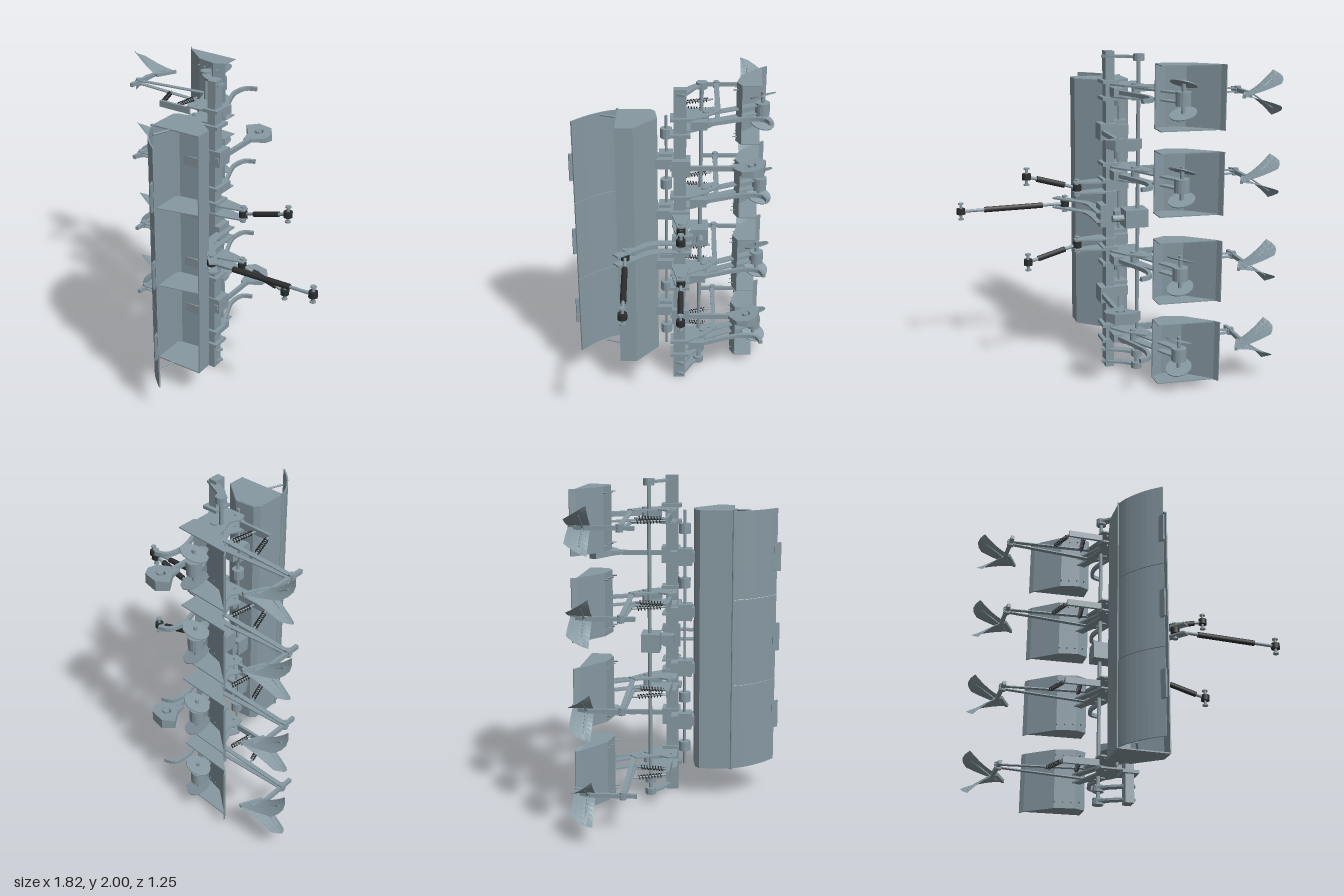
import * as THREE from 'three';

const steel = new THREE.MeshStandardMaterial({ color: 0x8799a2, side: THREE.DoubleSide, flatShading: true });
const dark = new THREE.MeshStandardMaterial({ color: 0x2b2d2f });

function add(parent, name, geo, mat = steel) {
  const m = new THREE.Mesh(geo, mat);
  m.name = name;
  parent.add(m);
  return m;
}

// Outline in [x, z], extruded from y0 to y1
function prism(parent, name, pts, y0, y1, holes = []) {
  const s = new THREE.Shape(pts.map(([x, z]) => new THREE.Vector2(x, -z)));
  for (const [x, z, r] of holes) s.holes.push(new THREE.Path().absarc(x, -z, r, 0, Math.PI * 2));
  const g = new THREE.ExtrudeGeometry(s, { depth: y1 - y0, bevelEnabled: false, curveSegments: 8 });
  return add(parent, name, g.rotateX(-Math.PI / 2).translate(0, y0, 0));
}

// Path in [x, z] given a thickness, extruded from y0 to y1
function strip(parent, name, path, t, y0, y1) {
  const a = [], b = [];
  path.forEach(([x, z], i) => {
    const p = path[Math.max(i - 1, 0)], n = path[Math.min(i + 1, path.length - 1)];
    const dx = n[0] - p[0], dz = n[1] - p[1], l = Math.hypot(dx, dz), k = t / 2 / l;
    a.push([x - dz * k, z + dx * k]);
    b.unshift([x + dz * k, z - dx * k]);
  });
  return prism(parent, name, a.concat(b), y0, y1);
}

function box(parent, name, x0, x1, y0, y1, z0, z1) {
  return add(parent, name, new THREE.BoxGeometry(x1 - x0, y1 - y0, z1 - z0)
    .translate((x0 + x1) / 2, (y0 + y1) / 2, (z0 + z1) / 2));
}

function rod(parent, name, p, q, r, mat = steel, sides = 12) {
  const a = new THREE.Vector3(...p), b = new THREE.Vector3(...q);
  const m = add(parent, name, new THREE.CylinderGeometry(r, r, a.distanceTo(b), sides), mat);
  m.position.copy(a).add(b).multiplyScalar(0.5);
  m.quaternion.setFromUnitVectors(new THREE.Vector3(0, 1, 0), b.sub(a).normalize());
  return m;
}

function spring(parent, p, q) {
  const a = new THREE.Vector3(...p), d = new THREE.Vector3(...q).sub(a), pts = [];
  const u = new THREE.Vector3(0, 1, 0), v = d.clone().normalize().cross(u);
  for (let i = 0; i <= 64; i++) {
    const t = i / 64, w = t * Math.PI * 16;
    pts.push(a.clone().addScaledVector(d, 0.15 + 0.7 * t)
      .addScaledVector(u, 0.012 * Math.cos(w)).addScaledVector(v, 0.012 * Math.sin(w)));
  }
  add(parent, 'spring', new THREE.TubeGeometry(new THREE.CatmullRomCurve3(pts), 96, 0.0035, 4), dark);
  rod(parent, 'springRod', p, q, 0.006);
}

// Curved sheet of the ridging body, flaring to one side
function wing(parent, side) {
  const g = new THREE.PlaneGeometry(1, 1, 8, 4), P = g.attributes.position;
  for (let i = 0; i < P.count; i++) {
    const u = P.getX(i) + 0.5, v = P.getY(i) + 0.5;
    const x = THREE.MathUtils.lerp(-0.635 - 0.235 * u, -0.69 - 0.18 * u, v) - 0.035 * u * Math.sin(v * Math.PI);
    P.setXYZ(i, x, side * (0.004 + (0.06 + 0.07 * v) * u ** 1.5), -0.56 + 0.132 * v + 0.01 * u * (1 - v));
  }
  g.computeVertexNormals();
  const m = add(parent, 'ridgerWing', g);
  m.material = steel;
}

function rowUnit() {
  const g = new THREE.Group();
  g.name = 'rowUnit';
  // Frame plates clamped on the beam
  for (const s of [-1, 1]) {
    const y = s * 0.036;
    prism(g, 'framePlate', [[-0.2, -0.25], [-0.15, -0.29], [-0.04, -0.2], [0.02, -0.11], [0.02, 0], [-0.16, 0.0],
      [-0.18, -0.05], [-0.15, -0.11]], y - 0.005, y + 0.005, [[-0.13, -0.23, 0.008], [-0.12, -0.04, 0.008]]);
    strip(g, 'diggingArm', [[-0.1, -0.17], [-0.27, -0.5]], 0.05, s * 0.026 - 0.005, s * 0.026 + 0.005);
    box(g, 'beamClamp', -0.03, 0.07, s * 0.05 - 0.01, s * 0.05 + 0.01, -0.1, 0.02);
    // Rear arm, converging on the ridger post
    const arm = strip(g, 'rearArm', [[-0.15, -0.265], [-0.74, -0.27]], 0.03, -0.003, 0.003);
    const P = arm.geometry.attributes.position;
    for (let i = 0; i < P.count; i++) P.setY(i, P.getY(i) + s * (0.008 + 0.046 * (P.getX(i) + 0.74)));
    arm.geometry.computeVertexNormals();
    // Hood end plates
    prism(g, 'hoodEndPlate', [[-0.5, -0.545], [-0.15, -0.52], [-0.15, -0.41], [-0.22, -0.38], [-0.34, -0.41]],
      s * 0.185 - 0.003, s * 0.185 + 0.003);
    // Covering discs, angled
    const disc = add(g, 'coveringDisc', new THREE.CylinderGeometry(0.08, 0.08, 0.006, 20));
    disc.position.set(-0.275, s * 0.085, -0.54);
    disc.rotation.set(s * 0.25, 0, s * 0.3);
    for (let k = 0; k < 4; k++) rod(g, 'hoodBolt', [-0.34 + k * 0.05, s * 0.15, -0.415 + k * 0.01],
      [-0.34 + k * 0.05, s * 0.15, -0.385 + k * 0.01], 0.004, steel, 6);
    wing(g, s);
    rod(g, 'wingBrace', [-0.73, 0, -0.47], [-0.855, s * 0.085, -0.47], 0.005, steel, 6);
  }
  strip(g, 'hoodPlate', [[-0.52, -0.575], [-0.5, -0.545], [-0.34, -0.41], [-0.22, -0.38], [-0.15, -0.41]], 0.007, -0.188, 0.188);
  rod(g, 'discAxle', [-0.275, -0.11, -0.54], [-0.275, 0.11, -0.54], 0.012);
  rod(g, 'discHub', [-0.275, -0.04, -0.54], [-0.275, 0.04, -0.54], 0.045, steel, 16);
  rod(g, 'armPivot', [-0.1, -0.05, -0.19], [-0.1, 0.05, -0.19], 0.02);
  // Ridger post and nose
  strip(g, 'ridgerPost', [[-0.72, -0.19], [-0.72, -0.46], [-0.69, -0.52]], 0.022, -0.012, 0.012);
  strip(g, 'ridgerNose', [[-0.7, -0.43], [-0.635, -0.56]], 0.018, -0.01, 0.01);
  rod(g, 'postClamp', [-0.72, -0.022, -0.27], [-0.72, 0.022, -0.27], 0.02);
  // Spring-loaded pressure linkage
  strip(g, 'springBar', [[-0.38, -0.04], [-0.16, -0.035]], 0.018, -0.02, 0.02);
  spring(g, [-0.44, 0, -0.24], [-0.37, 0, -0.04]);
  spring(g, [-0.25, 0, -0.24], [-0.28, 0, -0.04]);
  // Curved tine
  const bend = new THREE.SplineCurve([[0.01, -0.15], [-0.03, -0.25], [-0.09, -0.4], [-0.1, -0.48], [-0.08, -0.55], [-0.02, -0.575]]
    .map(p => new THREE.Vector2(...p))).getPoints(14).map(v => [v.x, v.y]);
  strip(g, 'curvedTine', bend, 0.022, -0.012, 0.012);
  box(g, 'tineClamp', -0.03, 0.03, -0.025, 0.025, -0.2, -0.1);
  return g;
}

// Rod end: ball on a flanged cross pin
function rodEnd(parent, x, y, z) {
  rod(parent, 'linkBall', [x, y - 0.018, z], [x, y + 0.018, z], 0.027, dark, 16);
  rod(parent, 'linkPin', [x, y - 0.05, z], [x, y + 0.05, z], 0.009);
  for (const s of [-1, 1]) rod(parent, 'pinCollar', [x, y + s * 0.045, z], [x, y + s * 0.053, z], 0.018);
}

function link(name, p, q, from, to) {
  const g = new THREE.Group(), at = t => p.map((v, i) => v + (q[i] - v) * t);
  g.name = name;
  rod(g, 'linkRod', p, q, 0.01);
  rod(g, 'linkSleeve', at(from), at(to), 0.018, dark, 8);
  rodEnd(g, ...p);
  rodEnd(g, ...q);
  return g;
}

export function createModel() {
  const root = new THREE.Group();
  root.name = 'rowCropImplement';

  // Main beam and cross shaft
  box(root, 'mainBeam', -0.008, 0.045, 0, 2, -0.075, 0);
  rod(root, 'crossShaft', [-0.13, 0.015, -0.165], [-0.13, 1.985, -0.165], 0.012);
  for (const y of [0.035, 0.115, 1.97]) {
    strip(root, 'shaftBracket', [[0.06, -0.04], [-0.08, -0.11], [-0.15, -0.175]], 0.05, y - 0.007, y + 0.007);
    rod(root, 'shaftBearing', [-0.13, y - 0.02, -0.165], [-0.13, y + 0.02, -0.165], 0.034);
  }

  // Hopper tray, open toward +z, with end walls and dividers
  const hopper = new THREE.Group();
  hopper.name = 'hopper';
  root.add(hopper);
  const section = [[-0.158, 0.34], [-0.158, 0.14], [-0.13, 0.115], [-0.01, 0.1], [0.155, 0.235], [0.155, 0.34]];
  strip(hopper, 'hopperWall', section, 0.007, 0.205, 1.805);
  for (const y of [0.2, 1.8]) prism(hopper, 'hopperEnd', section, y, y + 0.008);
  for (const y of [0.735, 1.27]) prism(hopper, 'hopperDivider', [...section.slice(1, 5), [0.12, 0.27], [-0.158, 0.33]], y - 0.003, y + 0.003);
  // Three curved lid panels with grips and stays
  const lid = new THREE.SplineCurve([[-0.158, 0.34], [-0.125, 0.42], [-0.05, 0.52], [0.04, 0.6]]
    .map(p => new THREE.Vector2(...p))).getPoints(10).map(v => [v.x, v.y]);
  for (let i = 0; i < 3; i++) {
    const y = 0.205 + i * 0.534;
    strip(hopper, 'lidPanel', lid, 0.009, y, y + 0.53);
    strip(hopper, 'lidGrip', [[0.02, 0.585], [0.035, 0.625]], 0.012, 0.42 + i * 0.5, 0.595 + i * 0.5);
  }
  for (const y of [0.21, 1.8]) rod(hopper, 'lidStay', [-0.04, y, 0.33], [-0.08, y, 0.44], 0.006);
  rod(hopper, 'lidHinge', [-0.16, 0.2, 0.34], [-0.16, 1.81, 0.34], 0.008);

  // Hopper supports and metering housings
  for (const y of [0.49, 0.83, 1.18, 1.52]) {
    box(root, 'meterHousing', -0.12, -0.03, y - 0.05, y + 0.05, 0.005, 0.09);
    box(root, 'hopperSupport', -0.11, 0.01, y - 0.03, y + 0.03, -0.04, 0.115);
  }
  for (const y of [0.32, 0.64, 1.36, 1.69]) rod(root, 'meterRotor', [-0.075, y - 0.03, 0.045], [-0.075, y + 0.03, 0.045], 0.036);
  rod(root, 'meterShaft', [-0.075, 0.2, 0.045], [-0.075, 1.8, 0.045], 0.009);

  // Row units
  for (const y of [0.235, 0.74, 1.27, 1.77]) {
    const unit = rowUnit();
    unit.position.y = y;
    root.add(unit);
  }

  // Two depth shoes on arms in front of the beam
  for (const y of [0.49, 1.52]) {
    const shoe = new THREE.Group();
    shoe.name = 'depthShoe';
    shoe.position.y = y;
    root.add(shoe);
    box(shoe, 'shoeArm', 0.055, 0.078, -0.014, 0.014, -0.37, 0.02);
    box(shoe, 'shoeClamp', -0.02, 0.085, -0.05, 0.05, -0.1, 0.01);
    const body = prism(shoe, 'shoeBody', [[0.03, -0.34], [0.08, -0.35], [0.155, -0.4], [0.16, -0.47], [0.12, -0.53],
      [0.02, -0.55], [-0.045, -0.5], [0.02, -0.41]], -0.03, 0.03, [[0.07, -0.46, 0.03]]);
    const P = body.geometry.attributes.position;
    for (let i = 0; i < P.count; i++) P.setY(i, P.getY(i) * (0.25 + (-0.34 - P.getZ(i)) * 4.2));
    body.geometry.computeVertexNormals();
    rod(shoe, 'shoeHub', [0.07, -0.028, -0.46], [0.07, 0.028, -0.46], 0.02);
  }

  // Mast, drive box and hitch
  for (const s of [-1, 1]) {
    strip(root, 'mastPlate', [[0.09, -0.11], [0.09, 0.08], [0.11, 0.15], [0.16, 0.22], [0.265, 0.345]], 0.055,
      1 + s * 0.03 - 0.005, 1 + s * 0.03 + 0.005);
    const y = 1 + s * 0.18;
    for (const t of [-1, 1]) prism(root, 'hitchLug', [[-0.02, -0.1], [0.08, -0.1], [0.24, -0.07], [0.24, -0.025], [0.08, 0.01], [-0.02, 0.01]],
      y + t * 0.032 - 0.005, y + t * 0.032 + 0.005);
    root.add(link('lowerLink', [0.22, y, -0.047], [0.53, 1 + s * 0.267, -0.047], 0.25, 0.8));
  }
  box(root, 'mastBase', 0.045, 0.085, 0.93, 1.07, -0.1, 0.01);
  root.add(link('topLink', [0.215, 1, 0.29], [0.885, 1, 0.27], 0.22, 0.78));
  box(root, 'driveBox', -0.185, -0.04, 0.945, 1.055, -0.215, -0.1);
  rod(root, 'driveStub', [-0.05, 1, -0.165], [0.03, 1, -0.165], 0.022);
  box(root, 'driveBracket', -0.08, 0.0, 0.97, 1.03, -0.12, -0.02);
  return root;
}
